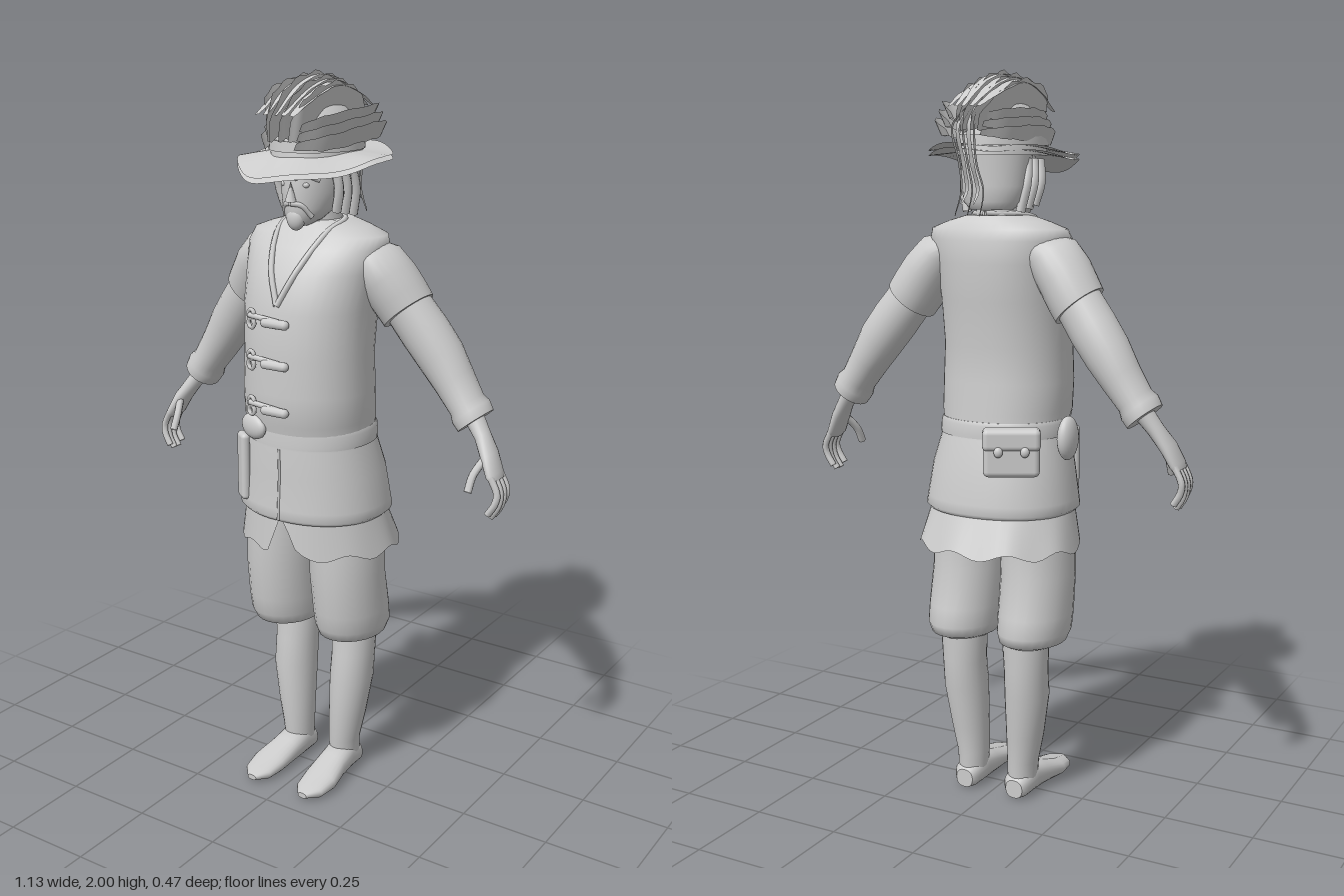
import * as THREE from 'three';
import { ParametricGeometry } from 'three/addons/geometries/ParametricGeometry.js';
import { RoundedBoxGeometry } from 'three/addons/geometries/RoundedBoxGeometry.js';

const grey = new THREE.MeshStandardMaterial({ color: 0xcccccc, side: THREE.DoubleSide });
grey.name = 'plain grey';

// Skin through rings [x, y, z, halfWidth, halfDepth, tilt], lowest first; side -1 mirrors x
function loft(rings, side = 1, seg = 28, power = 1) {
  const pos = [], idx = [];
  const bend = v => Math.sign(v) * Math.abs(v) ** power;
  const ring = ([x, y, z, a, b, tilt = 0]) => {
    for (let j = 0; j < seg; j++) {
      const t = j / seg * Math.PI * 2, u = a * bend(Math.sin(t));
      pos.push(x * side + u * Math.cos(tilt), y + u * Math.sin(tilt * side), z + b * bend(Math.cos(t)));
    }
  };
  rings.forEach(ring);
  for (let i = 0; i < rings.length - 1; i++) for (let j = 0; j < seg; j++) {
    const a = i * seg + j, b = i * seg + (j + 1) % seg;
    idx.push(a, b, b + seg, a, b + seg, a + seg);
  }
  // end caps with their own corners keep a crisp edge
  [rings[0], rings[rings.length - 1]].forEach((r, top) => {
    const base = pos.length / 3;
    ring(r);
    pos.push(r[0] * side, r[1], r[2]);
    for (let j = 0; j < seg; j++) {
      const a = base + j, b = base + (j + 1) % seg, c = base + seg;
      top ? idx.push(a, b, c) : idx.push(b, a, c);
    }
  });
  const g = new THREE.BufferGeometry();
  g.setAttribute('position', new THREE.Float32BufferAttribute(pos, 3));
  g.setIndex(idx);
  g.computeVertexNormals();
  return g;
}

const curve = pts => new THREE.CatmullRomCurve3(pts.map(p => new THREE.Vector3(...p)));
const tube = (pts, r, n = 10) => new THREE.TubeGeometry(curve(pts), n, r, 7);
const ball = (rx, ry, rz) => new THREE.SphereGeometry(1, 24, 16).scale(rx, ry, rz);

// Curved ribbon with pointed ends and a slightly ragged edge
function feather(pts, width, dir) {
  const c = curve(pts), d = new THREE.Vector3(...dir).normalize();
  return new ParametricGeometry((u, v, out) => {
    const w = width * Math.max(0.08, Math.sin(Math.PI * (0.06 + 0.9 * u)) ** 0.6) * (1 + 0.08 * Math.sin(u * 40));
    out.copy(c.getPoint(u)).addScaledVector(d, (v - 0.5) * w);
  }, 24, 3);
}

export function createModel() {
  const model = new THREE.Group();
  const add = (name, geo, x = 0, y = 0, z = 0, ry = 0, parent = model) => {
    const m = new THREE.Mesh(geo, grey);
    m.name = name;
    m.position.set(x, y, z);
    m.rotation.y = ry;
    parent.add(m);
    return m;
  };

  // Jacket with flared skirt and pinched waist
  add('jacket', loft([
    [0, 0.825, -0.005, 0.205, 0.178], [0, 0.835, -0.005, 0.216, 0.186], [0, 0.86, -0.004, 0.212, 0.184],
    [0, 0.95, 0, 0.198, 0.174], [0, 1.03, 0.012, 0.178, 0.163], [0, 1.06, 0.012, 0.17, 0.156],
    [0, 1.1, 0.022, 0.178, 0.167], [0, 1.18, 0.028, 0.18, 0.163], [0, 1.28, 0.028, 0.176, 0.16],
    [0, 1.4, 0.02, 0.18, 0.165], [0, 1.5, 0, 0.19, 0.152], [0, 1.56, -0.018, 0.203, 0.13],
    [0, 1.59, -0.028, 0.195, 0.11], [0, 1.61, -0.03, 0.14, 0.095], [0, 1.625, -0.03, 0.085, 0.08],
  ], 1, 40, 0.92));
  add('belt', loft([[0, 1.035, 0.012, 0.18, 0.164], [0, 1.045, 0.012, 0.18, 0.164], [0, 1.07, 0.012, 0.178, 0.163], [0, 1.08, 0.014, 0.174, 0.16]], 1, 40, 0.92));
  add('frontOpening', tube([[0, 0.83, 0.181], [0, 0.95, 0.174], [0, 1.03, 0.175]], 0.004));
  for (const s of [1, -1])
    add('collarEdge', tube([[0, 1.42, 0.181], [s * 0.04, 1.51, 0.145], [s * 0.075, 1.6, 0.06], [s * 0.08, 1.625, -0.02], [0, 1.63, -0.105]], 0.008, 20));

  // Shirt tail below the jacket, split at the front
  add('shirtTail', new ParametricGeometry((u, v, out) => {
    const t = (u - 0.5) * Math.PI * 2;
    const low = 0.728 + 0.01 * Math.sin(9 * t) + 0.11 * Math.exp(-((t / 0.13) ** 2));
    const a = 0.2 + 0.03 * v, b = 0.165 + 0.033 * v;
    out.set(a * Math.sin(t), 0.86 + (low - 0.86) * v, -0.027 * v + b * Math.cos(t));
  }, 64, 4));

  for (const s of [1, -1]) {
    const side = s > 0 ? 'left' : 'right';
    const limb = (part, rings) => add(side + part, loft(rings, s, 24));

    // Sleeves
    limb('UpperSleeve', [[0.255, 1.395, -0.06, 0.075, 0.078, 0.7], [0.235, 1.425, -0.055, 0.076, 0.083, 0.7],
      [0.205, 1.47, -0.045, 0.076, 0.088, 0.7], [0.165, 1.52, -0.035, 0.07, 0.09, 0.7], [0.12, 1.55, -0.03, 0.045, 0.075, 0.7]]);
    limb('LowerSleeve', [[0.452, 1.122, -0.08, 0.053, 0.06, 0.68], [0.437, 1.145, -0.08, 0.056, 0.062, 0.68], [0.425, 1.162, -0.08, 0.049, 0.056, 0.68],
      [0.385, 1.22, -0.082, 0.056, 0.06, 0.7], [0.345, 1.28, -0.08, 0.065, 0.064, 0.72], [0.3, 1.34, -0.073, 0.067, 0.066, 0.7], [0.24, 1.42, -0.06, 0.064, 0.064, 0.7]]);

    // Hand
    limb('Palm', [[0.538, 0.985, -0.045, 0.013, 0.034, 0.5], [0.53, 1.0, -0.045, 0.018, 0.04, 0.5], [0.508, 1.045, -0.055, 0.021, 0.037, 0.6],
      [0.478, 1.09, -0.07, 0.022, 0.027, 0.65], [0.445, 1.135, -0.08, 0.026, 0.03, 0.68]]);
    for (let i = 0; i < 4; i++) {
      const z = -0.073 + i * 0.019, d = i % 3 ? 0 : 0.012;
      add(side + 'Finger', tube([[s * 0.532, 1, z], [s * 0.553, 0.955, z], [s * 0.549, 0.917 + d, z + 0.003], [s * 0.53, 0.885 + d, z + 0.005]], 0.0095));
    }
    add(side + 'Thumb', tube([[s * 0.505, 1.04, -0.035], [s * 0.49, 1, 0], [s * 0.488, 0.96, 0.022]], 0.011));

    // Breeches, stocking and shoe
    limb('Breeches', [[0.105, 0.452, -0.035, 0.07, 0.085], [0.108, 0.462, -0.03, 0.09, 0.112], [0.11, 0.49, -0.027, 0.099, 0.124],
      [0.11, 0.54, -0.018, 0.101, 0.123], [0.108, 0.65, 0, 0.102, 0.116], [0.105, 0.76, 0, 0.102, 0.116], [0.1, 0.87, 0, 0.095, 0.115]]);
    limb('LowerLeg', [[0.08, 0.03, -0.038, 0.04, 0.048], [0.08, 0.1, -0.035, 0.043, 0.053], [0.088, 0.18, -0.038, 0.052, 0.059],
      [0.097, 0.3, -0.045, 0.061, 0.07], [0.098, 0.38, -0.053, 0.061, 0.067], [0.098, 0.47, -0.057, 0.066, 0.066]]);
    add(side + 'Shoe', loft([[0.08, -0.092, -0.028, 0.026, 0.026], [0.08, -0.075, -0.035, 0.039, 0.035], [0.08, -0.02, -0.045, 0.044, 0.045],
      [0.083, 0.04, -0.036, 0.046, 0.036], [0.09, 0.11, -0.025, 0.052, 0.025], [0.09, 0.165, -0.019, 0.043, 0.018], [0.088, 0.2, -0.018, 0.014, 0.008]], s, 24, 0.85).rotateX(Math.PI / 2));
  }

  // Toggle fastenings
  [[1.38, 0.192], [1.27, 0.195], [1.145, 0.196]].forEach(([y, z]) => {
    const toggle = new THREE.Group();
    toggle.name = 'toggle';
    toggle.position.set(-0.015, y, z);
    model.add(toggle);
    add('peg', new THREE.CapsuleGeometry(0.013, 0.06, 5, 10).rotateZ(Math.PI / 2), 0.02, -0.004, 0.004, 0, toggle);
    add('cord', new THREE.CapsuleGeometry(0.008, 0.09, 5, 8).rotateZ(Math.PI / 2 - 0.1), -0.015, 0.005, 0, 0, toggle);
    for (const dy of [-1, 1]) add('loop', new THREE.TorusGeometry(0.012, 0.006, 6, 12), -0.06, dy * 0.012, -0.004, -0.3, toggle);
  });

  // Things hung from the belt
  add('sheath', new RoundedBoxGeometry(0.055, 0.19, 0.025, 3, 0.012), -0.143, 0.95, 0.14, -0.65);
  add('frontPocket', ball(0.05, 0.035, 0.02), -0.085, 1.08, 0.17, -0.35);
  add('sidePouch', ball(0.025, 0.06, 0.045), -0.205, 1.035, -0.02);
  const pouch = new THREE.Group();
  pouch.name = 'backPouch';
  pouch.position.set(-0.105, 1.01, -0.155);
  pouch.rotation.y = Math.PI + 0.5;
  model.add(pouch);
  add('pouchBody', new RoundedBoxGeometry(0.15, 0.13, 0.05, 3, 0.015), 0, 0, 0, 0, pouch);
  add('pouchFlap', new RoundedBoxGeometry(0.155, 0.06, 0.06, 3, 0.015), 0, 0.035, 0, 0, pouch);
  for (const s of [1, -1]) add('pouchButton', ball(0.012, 0.014, 0.01), s * 0.035, 0.005, 0.03, 0, pouch);

  // Head, face and hair
  add('neck', loft([[0, 1.57, -0.03, 0.065, 0.075], [0, 1.7, -0.02, 0.055, 0.065]]));
  add('head', loft([[0, 1.615, 0.065, 0.02, 0.025], [0, 1.63, 0.05, 0.045, 0.055], [0, 1.66, 0.02, 0.066, 0.088],
    [0, 1.7, 0.005, 0.076, 0.104], [0, 1.76, 0, 0.08, 0.108], [0, 1.82, -0.01, 0.075, 0.1]]));
  add('hair', loft([[0, 1.64, -0.07, 0.06, 0.045], [0, 1.66, -0.06, 0.082, 0.07], [0, 1.7, -0.05, 0.092, 0.08], [0, 1.79, -0.04, 0.096, 0.095]]));
  add('nose', new THREE.ConeGeometry(0.016, 0.05, 8), 0, 1.705, 0.113);
  add('beard', ball(0.026, 0.032, 0.02), 0, 1.635, 0.09);
  for (const s of [1, -1]) {
    add('moustache', tube([[0, 1.675, 0.113], [s * 0.025, 1.67, 0.1], [s * 0.042, 1.64, 0.078]], 0.007));
    add('brow', tube([[s * 0.01, 1.74, 0.11], [s * 0.035, 1.748, 0.1], [s * 0.06, 1.735, 0.07]], 0.008));
    add('eye', ball(0.011, 0.008, 0.008), s * 0.032, 1.722, 0.093);
    add('ear', ball(0.012, 0.028, 0.02), s * 0.08, 1.7, 0.01);
    for (let i = 0; i < 3; i++)
      add('sideLock', tube([[s * 0.086, 1.77, 0.04 - i * 0.035], [s * 0.094, 1.71, 0.03 - i * 0.04], [s * 0.08, 1.65 - i * 0.008, 0.02 - i * 0.04]], 0.013));
  }

  // Hat: brim drawn to a point at the front, with a low crown
  const brim = drop => new ParametricGeometry((u, v, out) => {
    const t = u * Math.PI * 2, c = Math.cos(t), r = 0.42 + 0.58 * v;
    const edge = 1.787 - 0.035 * Math.max(c, 0) ** 2 + 0.02 * Math.max(-c, 0) + 0.006 * Math.sin(5 * t);
    out.set(0.2 * r * Math.sin(t), 1.805 + (edge - 1.805) * v - drop, r * (0.207 * c + 0.026 * Math.max(c, 0) ** 8));
  }, 56, 5);
  add('brimTop', brim(0));
  add('brimUnderside', brim(0.013));
  add('crown', loft([[0, 1.78, -0.01, 0.115, 0.14], [0, 1.83, -0.01, 0.11, 0.135], [0, 1.87, -0.01, 0.09, 0.12],
    [0, 1.91, -0.01, 0.062, 0.095], [0, 1.93, -0.01, 0.03, 0.05]]));
  add('hatBand', loft([[0, 1.805, -0.01, 0.118, 0.143], [0, 1.832, -0.01, 0.116, 0.141]]));

  // Tall plume arching from front to back over the crown
  [-0.055, -0.03, 0, 0.025, 0.05].forEach((x, i) => {
    const d = [0.02, 0.008, 0, 0.01, 0.022][i];
    add('plumeFeather', feather([[x * 0.6, 1.86, 0.205 - d * 2], [x, 1.91 - d, 0.13], [x * 1.05, 1.935 - d, 0], [x, 1.915 - d, -0.12], [x * 0.6, 1.86, -0.22 + d]], 0.125, [x * 3, 1, 0]));
    add('plumeTop', feather([[x, 1.9, 0.18], [x, 1.965 - d, 0.09], [x, 1.99 - d, -0.01], [x, 1.965 - d, -0.12], [x * 0.8, 1.9, -0.22]], 0.034, [1, 0.25 - i * 0.12, 0]));
  });
  // Feathers sweeping back round both sides
  for (let i = 0; i < 3; i++) {
    const y = 1.835 + i * 0.022, k = 0.012 * i;
    add('leftFeather', feather([[0.05, y - 0.01, 0.165 - k], [0.115 - k, y, 0.09], [0.152, y + 0.018, -0.02], [0.145 - k, y + 0.018, -0.1], [0.05, y, -0.21 + k]], 0.055, [0.5, 1, 0]));
    add('rightFeather', feather([[-0.04, y - 0.02, 0.165 - k], [-0.105 + k, y - 0.01, 0.08], [-0.118 + k, y, -0.02], [-0.1 + k, y, -0.12], [-0.04, y, -0.2 + k]], 0.045, [-0.4, 1, 0]));
  }
  // Wisps hanging behind the head
  for (let i = 0; i < 5; i++) {
    const x = -0.03 + i * 0.016;
    add('hangingFeather', feather([[x * 0.5, 1.9, -0.17], [x, 1.85, -0.215], [x, 1.76, -0.205 + i * 0.006], [x * 1.3, 1.69, -0.185 + i * 0.008], [x * 1.5, 1.625 + (i % 2) * 0.03, -0.215 + i * 0.01]], 0.04, [i % 2 ? 1 : 0.4, 0, 1]));
  }
  return model;
}
